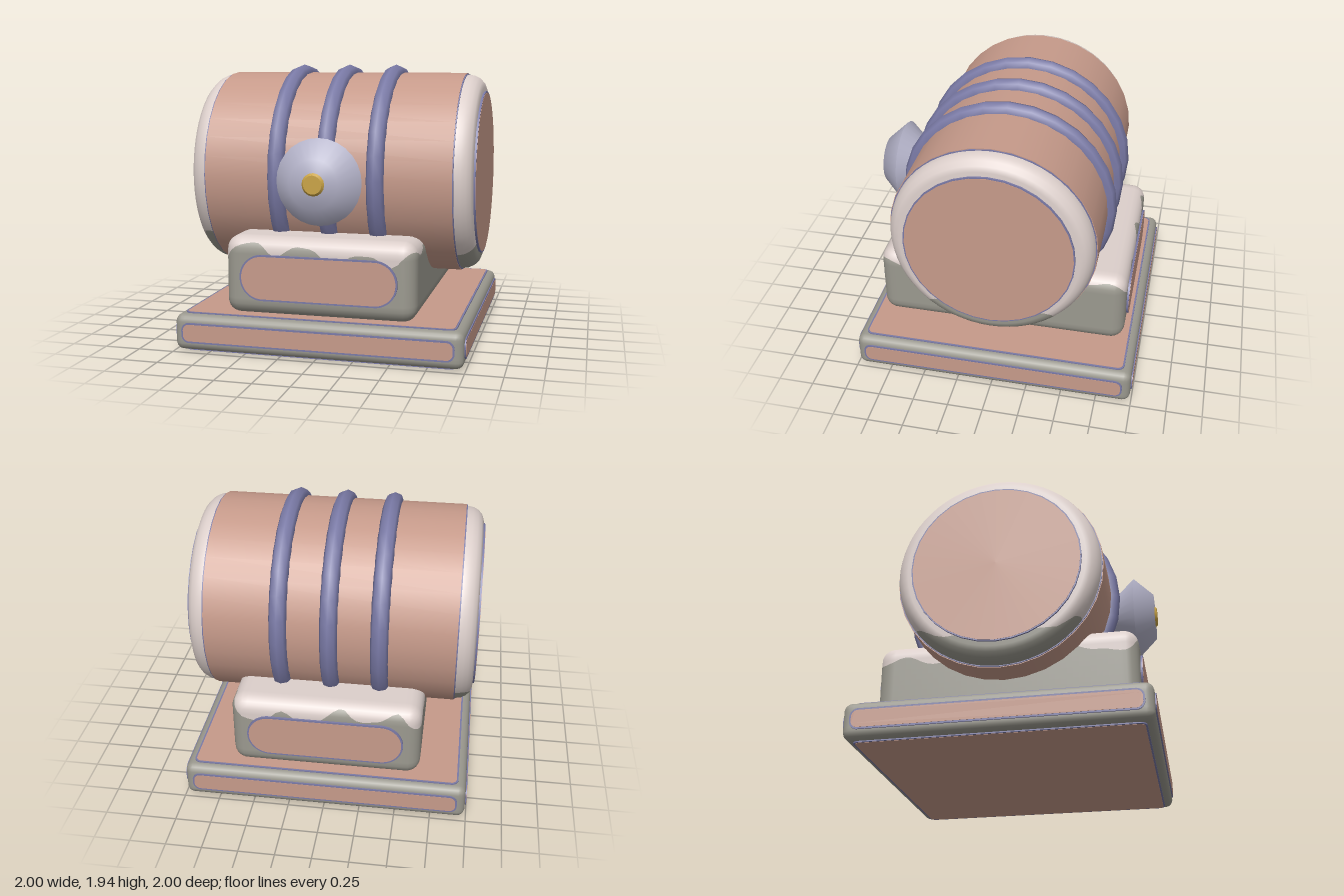
import * as THREE from 'three';

const mat = (name, color) => {
  const m = new THREE.MeshStandardMaterial({ color });
  m.name = name;
  return m;
};

export function createModel() {
  const model = new THREE.Group();
  const clay = mat('clay', 0xc69a8a);
  const indigo = mat('indigo', 0x7a7aa6);
  const stone = mat('stone', 0x9b998f);
  const frost = mat('frost', 0xdccfcb);
  const lilac = mat('lilac', 0xb3b2c8);
  const gold = mat('gold', 0xc9a344);

  const add = (name, geo, material, parent = model) => {
    const m = new THREE.Mesh(geo, material);
    m.name = name;
    parent.add(m);
    return m;
  };

  // Height of the ragged line where frost gives way to bare stone
  const frostLine = (p) =>
    0.7 + 0.045 * Math.cos(16 * (p.x - 0.3)) + 0.03 * Math.sin(11 * p.z + 5 * p.x) + 0.012 * Math.sin(31 * p.x + 23 * p.z);

  // Cuts every triangle along the frost line; group 0 is stone, group 1 frost
  function frosted(source) {
    const g = source.toNonIndexed();
    const P = g.attributes.position, N = g.attributes.normal;
    const out = [[], []];
    const vert = (i) => {
      const p = new THREE.Vector3().fromBufferAttribute(P, i);
      return { p, n: new THREE.Vector3().fromBufferAttribute(N, i), f: p.y - frostLine(p) };
    };
    for (let i = 0; i < P.count; i += 3) {
      const tri = [vert(i), vert(i + 1), vert(i + 2)];
      [-1, 1].forEach((sign, side) => {
        const poly = [];
        tri.forEach((a, k) => {
          const b = tri[(k + 1) % 3];
          if (a.f * sign >= 0) poly.push(a);
          if (a.f * b.f < 0) {
            const t = a.f / (a.f - b.f);
            poly.push({ p: a.p.clone().lerp(b.p, t), n: a.n.clone().lerp(b.n, t).normalize() });
          }
        });
        for (let k = 2; k < poly.length; k++) out[side].push(poly[0], poly[k - 1], poly[k]);
      });
    }
    const all = [...out[0], ...out[1]];
    const geo = new THREE.BufferGeometry();
    geo.setAttribute('position', new THREE.Float32BufferAttribute(all.flatMap((v) => v.p.toArray()), 3));
    geo.setAttribute('normal', new THREE.Float32BufferAttribute(all.flatMap((v) => v.n.toArray()), 3));
    geo.addGroup(0, out[0].length, 0);
    geo.addGroup(out[0].length, out[1].length, 1);
    return geo;
  }

  // Box with rounded edges and finely divided faces
  function softBox(w, h, d, r, step, y) {
    const g = new THREE.BoxGeometry(w, h, d, Math.round(w / step), Math.round(h / step), Math.round(d / step));
    const P = g.attributes.position, N = g.attributes.normal;
    const inner = new THREE.Vector3(w / 2 - r, h / 2 - r, d / 2 - r);
    const low = inner.clone().negate();
    for (let i = 0; i < P.count; i++) {
      const p = new THREE.Vector3().fromBufferAttribute(P, i);
      const c = p.clone().clamp(low, inner);
      const n = p.sub(c).normalize();
      N.setXYZ(i, n.x, n.y, n.z);
      c.addScaledVector(n, r);
      P.setXYZ(i, c.x, c.y, c.z);
    }
    return g.translate(0, y, 0);
  }

  const plate = (w, h, r, depth) => {
    const s = new THREE.Shape(), x = w / 2, y = h / 2;
    s.absarc(x - r, y - r, r, 0, Math.PI / 2);
    s.absarc(-x + r, y - r, r, Math.PI / 2, Math.PI);
    s.absarc(-x + r, -y + r, r, Math.PI, Math.PI * 1.5);
    s.absarc(x - r, -y + r, r, Math.PI * 1.5, Math.PI * 2);
    return new THREE.ExtrudeGeometry(s, { depth, bevelEnabled: false, curveSegments: 8 });
  };

  // Clay panel with a thin indigo border, facing +z before it is turned
  function panel(name, w, h, r, rise, pos, rx = 0, ry = 0) {
    const g = new THREE.Group();
    g.name = name;
    add('panelBorder', plate(w, h, r, rise - 0.002), indigo, g);
    add('panelFace', plate(w - 0.024, h - 0.024, r - 0.012, rise), clay, g);
    g.position.set(...pos);
    g.rotation.set(rx, ry, 0);
    model.add(g);
  }

  // Square base with a panel on each face
  add('base', softBox(1.98, 0.25, 1.98, 0.055, 0.025, 0.135), stone);
  for (let i = 0; i < 4; i++) {
    const a = (i * Math.PI) / 2;
    panel('baseSidePanel', 1.87, 0.14, 0.055, 0.01, [Math.sin(a) * 0.99, 0.137, Math.cos(a) * 0.99], 0, a);
  }
  panel('baseTopPanel', 1.87, 1.87, 0.05, 0.01, [0, 0.26, 0], -Math.PI / 2);
  panel('baseBottomPanel', 1.87, 1.87, 0.05, 0.01, [0, 0.01, 0], Math.PI / 2);

  // Cradle under the barrel
  add('cradle', frosted(softBox(1.32, 0.54, 1.78, 0.1, 0.04, 0.53)), [stone, frost]);
  for (const s of [1, -1])
    panel('cradlePanel', 1.085, 0.315, 0.155, 0.018, [0, 0.525, s * 0.888], 0, s > 0 ? 0 : Math.PI);

  // Barrel along x
  const barrel = new THREE.Group();
  barrel.name = 'barrel';
  barrel.position.y = 1.18;
  model.add(barrel);
  const drum = (r, len, x) => new THREE.CylinderGeometry(r, r, len, 32).rotateZ(-Math.PI / 2).translate(x, 0, 0);
  add('barrelBody', drum(0.705, 1.72, 0), clay, barrel);
  for (const x of [-0.345, 0, 0.345])
    add('hoop', new THREE.TorusGeometry(0.698, 0.064, 8, 28).rotateY(Math.PI / 2).translate(x, 0, 0), indigo, barrel);

  // Rounded end caps with inset discs
  const capProfile = [[0.692, 0.85], [0.692, 0.875], [0.686, 0.91], [0.668, 0.945], [0.64, 0.972], [0.605, 0.985], [0.5, 0.985]]
    .map(([r, h]) => new THREE.Vector2(r, h));
  for (const s of [1, -1]) {
    const cap = new THREE.LatheGeometry(capProfile, 64).rotateZ(-Math.PI / 2);
    if (s < 0) cap.rotateY(Math.PI);
    add('endCap', frosted(cap.translate(0, 1.18, 0)), [stone, frost]);
    add('capSeam', drum(0.7, 0.01, s * 0.863), indigo, barrel);
    add('endDiscBorder', drum(0.577, 0.03, s * 0.983), indigo, barrel);
    add('endDisc', drum(0.568, 0.03, s * 0.985), clay, barrel);
  }

  // Front knob: double cone with a small gold stud
  const cone = (name, pts) => add(name,
    new THREE.LatheGeometry(pts.map(([r, h]) => new THREE.Vector2(r, h)), 28).rotateX(Math.PI / 2), lilac, barrel);
  cone('knobBack', [[0.15, 0.69], [0.292, 0.85]]);
  cone('knobFront', [[0.292, 0.85], [0.165, 0.985], [0, 0.987]]);
  add('stud', new THREE.CylinderGeometry(0.062, 0.08, 0.02, 16).rotateX(Math.PI / 2).translate(0, 0, 0.992), gold, barrel);

  return model;
}
